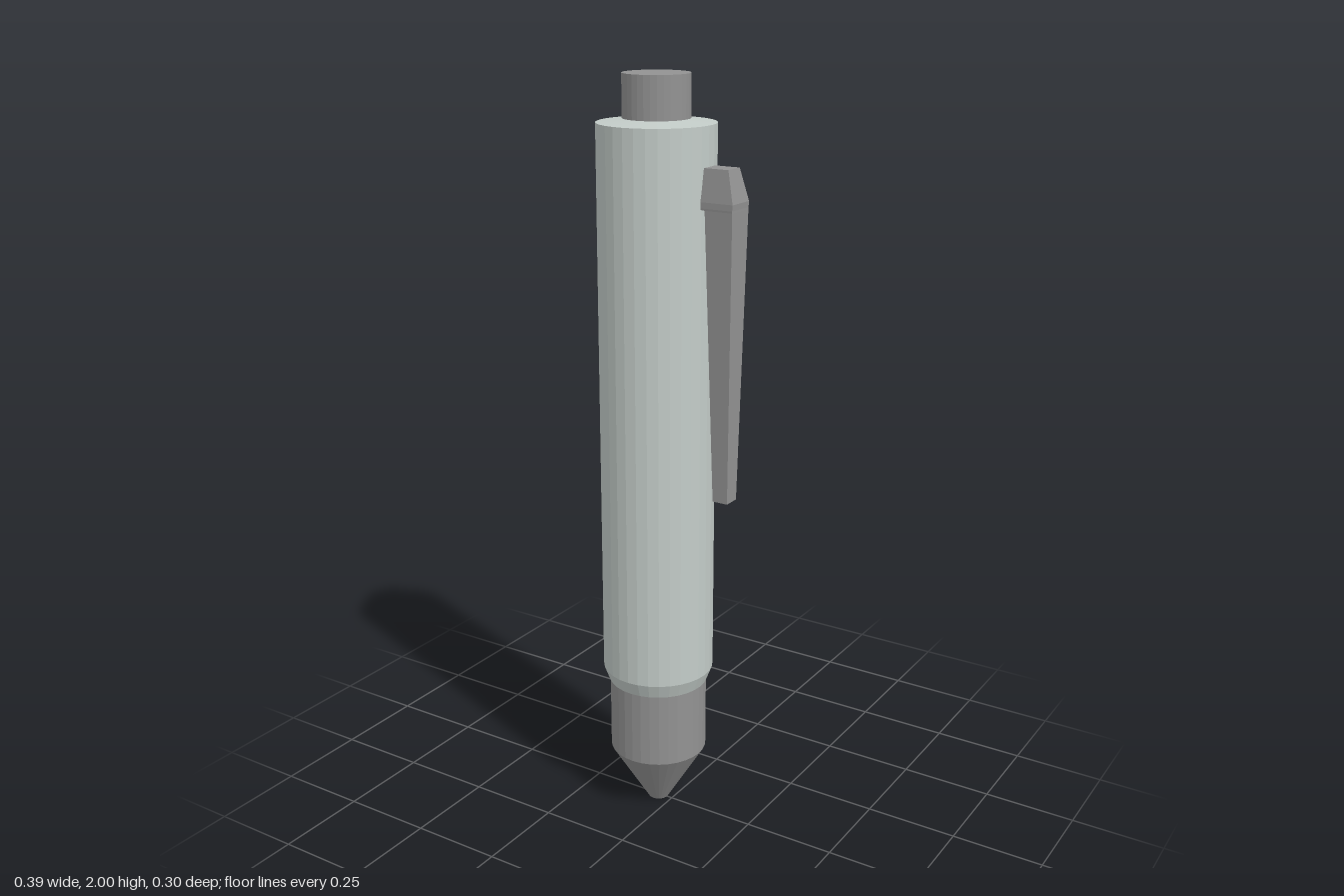
import * as THREE from 'three';

const AXIS_X = -0.044;
const SIDES = 32;

// Solid of revolution from [radius, y] points, bottom to top
function turned(name, points, material) {
  const geometry = new THREE.LatheGeometry(points.map(([r, y]) => new THREE.Vector2(r, y)), SIDES);
  const mesh = new THREE.Mesh(geometry, material);
  mesh.name = name;
  mesh.position.x = AXIS_X;
  return mesh;
}

// Rectangular sections [y, inner x, outer x, half width], bottom to top, joined by flat faces
function loftBoxes(sections) {
  const rings = sections.map(([y, x0, x1, w]) => [[x0, y, -w], [x0, y, w], [x1, y, w], [x1, y, -w]]);
  const positions = [];
  const quad = (a, b, c, d) => positions.push(...a, ...b, ...c, ...a, ...c, ...d);
  for (let i = 0; i < rings.length - 1; i++) {
    for (let j = 0; j < 4; j++) {
      const k = (j + 1) % 4;
      quad(rings[i][j], rings[i][k], rings[i + 1][k], rings[i + 1][j]);
    }
  }
  quad(...rings[0].slice().reverse());
  quad(...rings[rings.length - 1]);
  const geometry = new THREE.BufferGeometry();
  geometry.setAttribute('position', new THREE.Float32BufferAttribute(positions, 3));
  geometry.computeVertexNormals();
  return geometry;
}

export function createModel() {
  const shell = new THREE.MeshStandardMaterial({ color: 0xc3ccc8, flatShading: true });
  shell.name = 'pale grey shell';
  const grey = new THREE.MeshStandardMaterial({ color: 0x929292, flatShading: true });
  grey.name = 'mid grey';

  const pen = new THREE.Group();
  pen.name = 'pen';

  // Barrel with a bevelled lower rim and a very shallow conical top
  pen.add(turned('barrel', [[0, 0.38], [0.135, 0.38], [0.15, 0.42], [0.15, 1.883], [0, 1.895]], shell));

  // Grip sleeve tapering to the nose
  pen.add(turned('gripAndNose', [[0, 0.003], [0.022, 0.003], [0.028, 0], [0.132, 0.172], [0.132, 0.385], [0, 0.385]], grey));

  // Writing point set in the nose
  pen.add(turned('writingPoint', [[0, 0.001], [0.021, 0.001], [0.021, 0.006]], shell));

  // Push button
  pen.add(turned('pushButton', [[0, 1.893], [0.085, 1.893], [0.085, 2], [0, 2]], grey));

  // Pocket clip: tapered arm hung from a bevelled bracket
  const clip = new THREE.Mesh(loftBoxes([
    [0.935, 0.135, 0.178, 0.023],
    [1.685, 0.114, 0.191, 0.039],
    [1.69, 0.06, 0.191, 0.0395],
    [1.705, 0.06, 0.192, 0.0395],
    [1.785, 0.06, 0.172, 0.027],
  ]), grey);
  clip.name = 'pocketClip';
  clip.position.z = -0.007;
  pen.add(clip);

  return pen;
}
